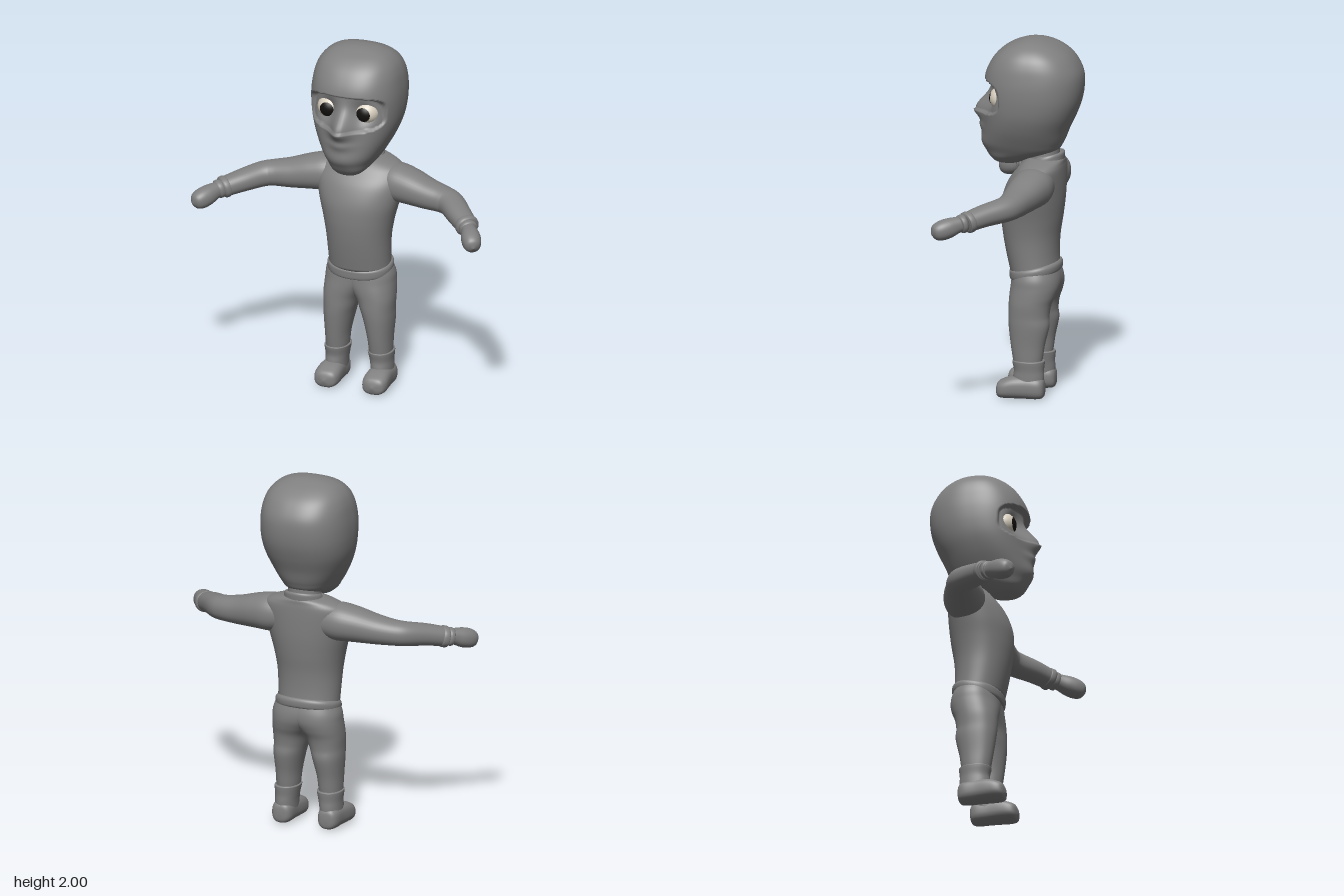
import * as THREE from 'three';

const cloth = new THREE.MeshStandardMaterial({ color: 0x808080 });
const eyeWhite = new THREE.MeshStandardMaterial({ color: 0xd8d0c0 });
const black = new THREE.MeshStandardMaterial({ color: 0x14110f });

// Catmull-Rom interpolation through rows of numbers
function sample(rows, t) {
  const last = rows.length - 1;
  const i = Math.min(Math.floor(t * last), last - 1), f = t * last - i;
  const [a, b, c, d] = [i - 1, i, i + 1, i + 2].map(k => rows[Math.min(Math.max(k, 0), last)]);
  return b.map((_, k) => b[k] + 0.5 * f * (c[k] - a[k]
    + f * (2 * a[k] - 5 * b[k] + 4 * c[k] - d[k] + f * (3 * (b[k] - c[k]) + d[k] - a[k]))));
}

// Smooth skin over superellipse sections [x, y, z, radiusU, radiusV]
function loft(rows, { axis = null, n = 2.2, seg = 36, steps = 32 } = {}) {
  const pos = [], index = [], up = new THREE.Vector3(0, 1, 0);
  const at = t => new THREE.Vector3(...sample(rows, t).slice(0, 3));
  for (let i = 0; i <= steps; i++) {
    const t = i / steps, [x, y, z, ru, rv] = sample(rows, t);
    const T = axis ? axis.clone() : at(Math.min(1, t + 0.02)).sub(at(Math.max(0, t - 0.02))).normalize();
    const U = Math.abs(T.y) > 0.99 ? new THREE.Vector3(1, 0, 0) : up.clone().cross(T).normalize();
    const V = T.clone().cross(U);
    for (let j = 0; j < seg; j++) {
      const a = j / seg * Math.PI * 2, c = Math.cos(a), s = Math.sin(a);
      const p = new THREE.Vector3(x, y, z)
        .addScaledVector(U, Math.sign(c) * Math.abs(c) ** (2 / n) * Math.max(ru, 0.001))
        .addScaledVector(V, Math.sign(s) * Math.abs(s) ** (2 / n) * Math.max(rv, 0.001));
      pos.push(p.x, p.y, p.z);
      if (i < steps) {
        const k = (j + 1) % seg, A = i * seg + j, B = i * seg + k;
        index.push(A, B, B + seg, A, B + seg, A + seg);
      }
    }
  }
  // end caps
  const c0 = pos.length / 3, top = steps * seg;
  pos.push(...rows[0].slice(0, 3), ...rows[rows.length - 1].slice(0, 3));
  for (let j = 0; j < seg; j++) {
    const k = (j + 1) % seg;
    index.push(c0, k, j, c0 + 1, top + j, top + k);
  }
  const g = new THREE.BufferGeometry();
  g.setAttribute('position', new THREE.Float32BufferAttribute(pos, 3));
  g.setIndex(index);
  g.computeVertexNormals();
  return g;
}

// Upright skin from rows [y, front z, back z, half width, centre x]
const Y = new THREE.Vector3(0, 1, 0), Z = new THREE.Vector3(0, 0, 1);
const upright = (rows, opts = {}) => loft(
  rows.map(([y, f, b, w, x = 0]) => [x, y, (f + b) / 2, w, (f - b) / 2]), { axis: Y, ...opts });

function reshape(g, rule, keepNormals = false) {
  const p = g.attributes.position, v = new THREE.Vector3();
  for (let i = 0; i < p.count; i++) {
    rule(v.fromBufferAttribute(p, i));
    p.setXYZ(i, v.x, v.y, v.z);
  }
  if (!keepNormals) g.computeVertexNormals();
  return g;
}

const bump = (d, w) => Math.exp(-((d / w) ** 2));
const { smoothstep } = THREE.MathUtils;

// Masked head: eye opening, sockets, nose and mouth are pressed into the skin
function headGeometry() {
  const g = upright([
    [1.29, 0.09, 0.07, 0.01], [1.3, 0.15, 0.02, 0.06], [1.33, 0.185, -0.05, 0.1],
    [1.37, 0.205, -0.18, 0.133], [1.42, 0.22, -0.222, 0.165], [1.5, 0.214, -0.255, 0.208],
    [1.58, 0.21, -0.292, 0.238], [1.66, 0.212, -0.32, 0.252], [1.74, 0.214, -0.332, 0.255],
    [1.81, 0.203, -0.328, 0.249], [1.87, 0.176, -0.302, 0.237], [1.92, 0.138, -0.262, 0.214],
    [1.96, 0.085, -0.205, 0.174], [1.985, 0.025, -0.145, 0.12], [1.997, -0.02, -0.1, 0.058],
    [2.0, -0.055, -0.065, 0.004],
  ], { n: 2.35, seg: 168, steps: 140 });
  return reshape(g, v => {
    if (v.z < 0) return;
    const { x, y } = v, ax = Math.abs(x);
    const d = (ax / 0.222) ** 4 + (Math.abs(y - 1.68) / 0.096) ** 4;
    const inside = 1 - smoothstep(d, 0.88, 1.04);
    const k = 1 - inside * (0.045 + 0.08 * smoothstep(y, 1.6, 1.77));
    v.x *= k;
    v.z = -0.05 + (v.z + 0.05) * k;
    v.z -= inside * 0.046 * bump(Math.hypot(ax - 0.108, y - 1.677), 0.07);
    // nose with bridge, then lips and chin
    const nose = y > 1.585 ? smoothstep(1.76 - y, 0, 0.175) ** 1.6 : 1 - smoothstep(1.585 - y, 0, 0.07) * 0.6;
    v.z += 0.074 * nose * smoothstep(y, 1.4, 1.54) * bump(x, 0.062) * smoothstep(v.z, 0, 0.1);
    v.z += 0.016 * bump(x, 0.075) * (bump(y - 1.41, 0.05) + 0.6 * bump(y - 1.5, 0.025));
  });
}

export function createModel() {
  const model = new THREE.Group();
  const add = (name, geometry, material = cloth) => {
    const m = new THREE.Mesh(geometry, material);
    m.name = name;
    model.add(m);
    return m;
  };

  add('head', headGeometry());
  add('neck', upright([[1.27, -0.03, -0.2, 0.1], [1.36, -0.04, -0.2, 0.09], [1.44, -0.03, -0.2, 0.09]]));
  const collar = upright([
    [1.3, -0.01, -0.222, 0.135], [1.335, -0.03, -0.227, 0.115], [1.36, -0.045, -0.228, 0.108],
    [1.371, -0.06, -0.22, 0.098], [1.365, -0.07, -0.21, 0.085]], { n: 2 });
  add('collar', reshape(collar, v => { v.y -= 0.2 * (v.z + 0.22); }));

  // sweater
  add('torso', upright([
    [0.7, 0.07, -0.2, 0.174], [0.8, 0.092, -0.195, 0.177], [0.9, 0.11, -0.2, 0.184],
    [1.0, 0.12, -0.215, 0.202], [1.1, 0.115, -0.226, 0.228], [1.2, 0.08, -0.23, 0.25],
    [1.27, 0.03, -0.23, 0.246], [1.305, 0.0, -0.228, 0.205], [1.33, -0.03, -0.225, 0.13],
    [1.34, -0.06, -0.2, 0.08]], { n: 2.12, seg: 56, steps: 45 }));
  const hem = upright([
    [0.675, 0.05, -0.19, 0.15], [0.676, 0.064, -0.203, 0.176], [0.686, 0.071, -0.21, 0.184],
    [0.71, 0.073, -0.211, 0.186], [0.726, 0.072, -0.204, 0.18], [0.735, 0.06, -0.19, 0.165]],
    { n: 2.2, seg: 48 });
  add('hem', reshape(hem, v => { v.y -= 0.2 * (v.z + 0.07); }));

  for (const [side, s] of [['left', 1], ['right', -1]]) {
    const flip = rows => rows.map(([x, ...rest]) => [x * s, ...rest]);
    const flipUp = rows => rows.map(r => [...r.slice(0, 4), r[4] * s]);

    // eyes
    const ball = add(side + 'Eye', new THREE.SphereGeometry(0.068, 32, 24), eyeWhite);
    const pupil = add(side + 'Pupil',
      new THREE.SphereGeometry(0.0695, 28, 8, 0, Math.PI * 2, 0, 0.62).rotateX(Math.PI / 2), black);
    for (const m of [ball, pupil]) m.position.set(0.108 * s, 1.675, 0.099);
    ball.scale.x = 1.06;

    // arms bend forward at the elbow
    add(side + 'Arm', loft(flip([
      [0.08, 1.205, -0.115, 0.085, 0.08], [0.19, 1.203, -0.1, 0.112, 0.104], [0.28, 1.194, -0.085, 0.11, 0.098],
      [0.4, 1.174, -0.063, 0.093, 0.082], [0.5, 1.163, -0.045, 0.08, 0.071], [0.562, 1.155, -0.015, 0.074, 0.067],
      [0.645, 1.137, 0.072, 0.068, 0.06], [0.727, 1.113, 0.152, 0.058, 0.053]]), { steps: 44 }));
    add(side + 'SleeveCuff', loft(flip([
      [0.705, 1.12, 0.128, 0.054, 0.05], [0.711, 1.118, 0.134, 0.064, 0.058], [0.727, 1.113, 0.152, 0.064, 0.058],
      [0.733, 1.111, 0.158, 0.05, 0.046]]), { steps: 15 }));
    add(side + 'GloveCuff', loft(flip([
      [0.727, 1.113, 0.152, 0.04, 0.04], [0.734, 1.111, 0.163, 0.05, 0.05], [0.746, 1.108, 0.18, 0.05, 0.05],
      [0.752, 1.106, 0.187, 0.038, 0.038]]), { steps: 15 }));
    add(side + 'Hand', loft(flip([
      [0.735, 1.11, 0.165, 0.038, 0.039], [0.757, 1.104, 0.2, 0.044, 0.046], [0.782, 1.091, 0.24, 0.053, 0.054],
      [0.806, 1.078, 0.279, 0.052, 0.053], [0.825, 1.067, 0.309, 0.037, 0.038], [0.834, 1.062, 0.323, 0.002, 0.002]])));

    // trouser legs, meeting at the middle above the crotch
    const leg = upright(flipUp([
      [0.14, 0.015, -0.12, 0.055, 0.13], [0.22, 0.03, -0.134, 0.062, 0.128], [0.3, 0.043, -0.146, 0.068, 0.125],
      [0.4, 0.056, -0.168, 0.083, 0.117], [0.46, 0.06, -0.166, 0.093, 0.108], [0.52, 0.06, -0.175, 0.107, 0.097],
      [0.57, 0.06, -0.195, 0.128, 0.075], [0.62, 0.058, -0.21, 0.155, 0.045], [0.67, 0.055, -0.21, 0.175, 0.02],
      [0.73, 0.045, -0.195, 0.172, 0]]), { seg: 72, steps: 60 });
    add(side + 'Leg', reshape(leg, v => { v.x = s * Math.max(0, s * v.x); }, true));

    // boots
    add(side + 'BootShaft', upright(flipUp([
      [0.05, 0.03, -0.14, 0.058, 0.137], [0.12, 0.028, -0.143, 0.06, 0.134], [0.16, 0.024, -0.142, 0.063, 0.131],
      [0.2, 0.032, -0.146, 0.069, 0.129], [0.213, 0.032, -0.145, 0.069, 0.128], [0.215, 0.02, -0.13, 0.055, 0.128]])));
    add(side + 'Foot', loft(flip([
      [0.139, 0.06, -0.149, 0.01, 0.01], [0.139, 0.06, -0.142, 0.042, 0.048], [0.139, 0.063, -0.11, 0.06, 0.062],
      [0.14, 0.065, -0.04, 0.064, 0.064], [0.141, 0.063, 0.025, 0.07, 0.062], [0.142, 0.055, 0.075, 0.07, 0.054],
      [0.142, 0.049, 0.108, 0.054, 0.041], [0.142, 0.046, 0.121, 0.006, 0.006]]), { axis: Z, n: 2.6 }));
  }
  return model;
}
